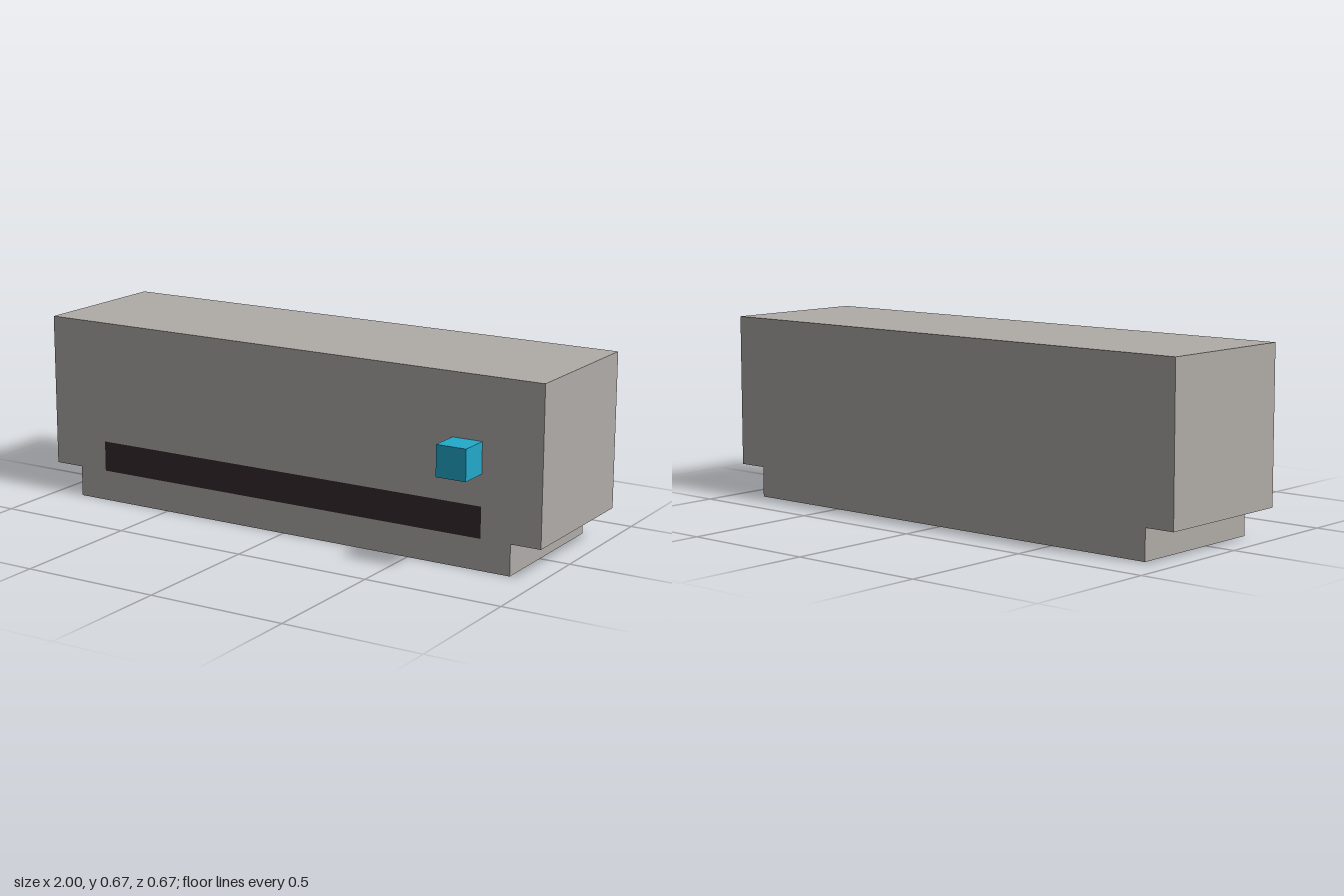
import * as THREE from 'three';
import { mergeGeometries } from 'three/addons/utils/BufferGeometryUtils.js';

const U = 1 / 9; // module size: the body is 18 units long
const FRONT = 2 * U, BACK = -3 * U;

const material = (name, color) => {
  const m = new THREE.MeshStandardMaterial({ color, side: THREE.DoubleSide });
  m.name = name;
  return m;
};

export function createModel() {
  const group = new THREE.Group();
  group.name = 'wallUnit';
  const casing = material('warm grey casing', 0xb0aca8);
  const dark = material('dark vent', 0x362b2e);
  const cyan = material('cyan indicator', 0x22aaca);

  const add = (name, geometry, mat, x = 0, y = 0, z = 0) => {
    const mesh = new THREE.Mesh(geometry, mat);
    mesh.name = name;
    mesh.position.set(x, y, z);
    group.add(mesh);
  };

  // Stepped outline, counterclockwise; the closing edge at the bottom stays open
  const outline = [[8, 0], [8, 1], [9, 1], [9, 6], [-9, 6], [-9, 1], [-8, 1], [-8, 0]]
    .map(([x, y]) => new THREE.Vector2(x * U, y * U));

  // Front panel with the vent opening
  const front = new THREE.Shape(outline);
  front.holes.push(new THREE.Path(
    [[-7, 1], [-7, 2], [7, 2], [7, 1]].map(([x, y]) => new THREE.Vector2(x * U, y * U))));
  add('frontPanel', new THREE.ShapeGeometry(front), casing, 0, 0, FRONT);

  // Back panel
  const back = new THREE.ShapeGeometry(new THREE.Shape(outline)).rotateY(Math.PI);
  add('backPanel', back, casing, 0, 0, BACK);

  // Top, ends and stepped lower edges of the hollow shell
  const walls = outline.slice(1).map((b, i) => {
    const a = outline[i];
    return new THREE.PlaneGeometry(a.distanceTo(b), FRONT - BACK)
      .rotateX(-Math.PI / 2)
      .rotateZ(Math.atan2(b.y - a.y, b.x - a.x) - Math.PI)
      .translate((a.x + b.x) / 2, (a.y + b.y) / 2, (FRONT + BACK) / 2);
  });
  add('shellWalls', mergeGeometries(walls), casing);

  // Vent strip filling the opening, flush with the front
  add('ventStrip', new THREE.PlaneGeometry(14 * U, U), dark, 0, 1.5 * U, FRONT);

  // Indicator cube
  add('indicator', new THREE.BoxGeometry(U, U, U), cyan, 6.5 * U, 3.5 * U, FRONT + U / 2);

  return group;
}
